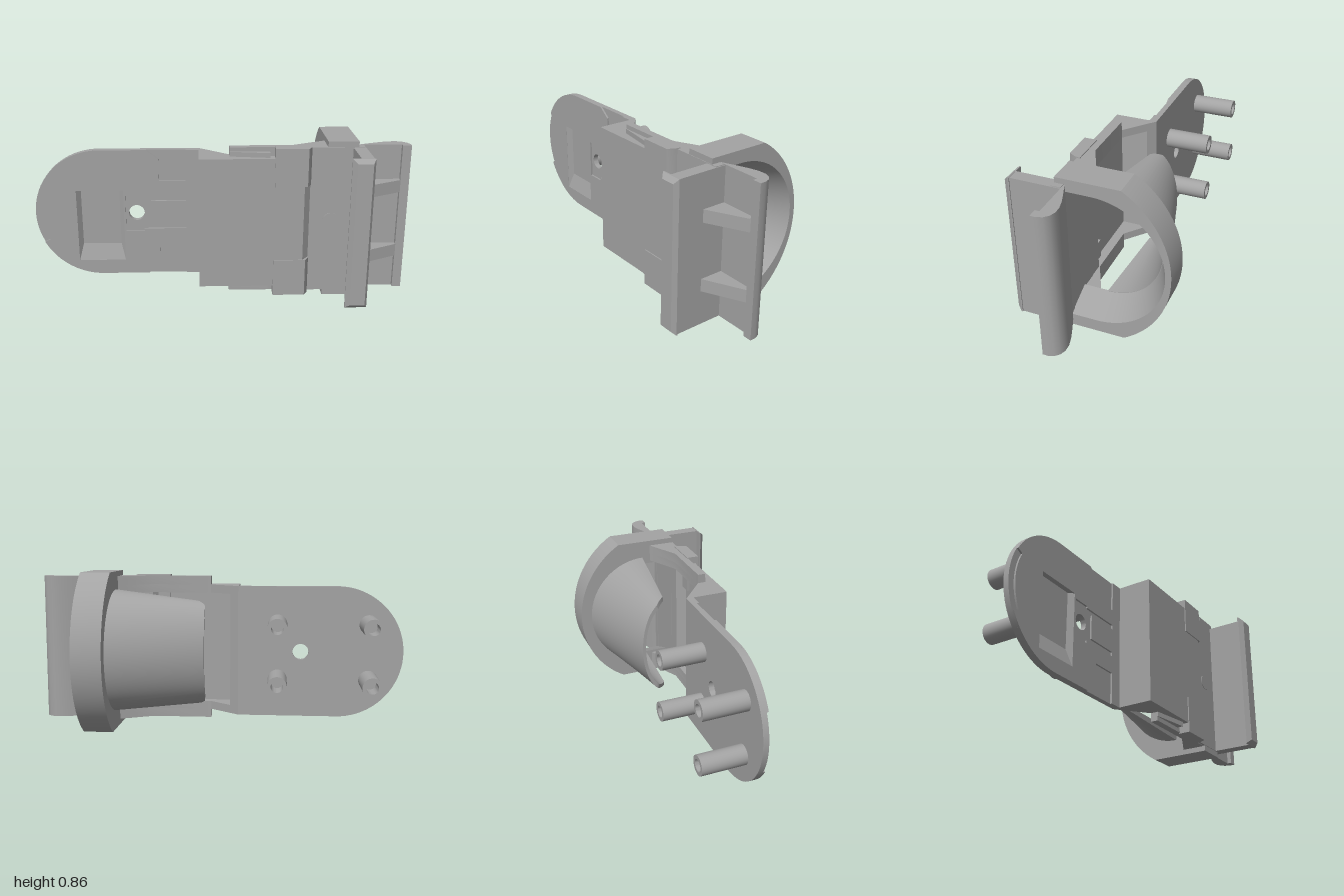
import * as THREE from 'three';
import { toCreasedNormals } from 'three/addons/utils/BufferGeometryUtils.js';

const CY = 0.435; // height of the mirror plane

export function createModel() {
  const group = new THREE.Group();
  const grey = new THREE.MeshStandardMaterial({ color: 0xa3a3a3 });
  grey.name = 'plain grey';

  const add = (name, geometry) => {
    const mesh = new THREE.Mesh(toCreasedNormals(geometry, 0.5), grey);
    mesh.name = name;
    group.add(mesh);
    return mesh;
  };
  const box = (name, x0, x1, y0, y1, z0, z1) =>
    add(name, new THREE.BoxGeometry(x1 - x0, y1 - y0, z1 - z0)
      .translate((x0 + x1) / 2, (y0 + y1) / 2, (z0 + z1) / 2));
  const v2 = (pts) => pts.map(([a, b]) => new THREE.Vector2(a, b));

  // Plan outline in x, z raised from y0 to y1
  const slab = (name, pts, y0, y1) => {
    const shape = new THREE.Shape(v2(pts.map(([x, z]) => [x, -z])));
    const g = new THREE.ExtrudeGeometry(shape, { depth: y1 - y0, bevelEnabled: false });
    return add(name, g.rotateX(-Math.PI / 2).translate(0, y0, 0));
  };
  // The same slab on both sides of the mirror plane
  const slabPair = (name, pts, y0, y1) => {
    slab(name + 'Upper', pts, y0, y1);
    slab(name + 'Lower', pts, 2 * CY - y1, 2 * CY - y0);
  };
  // Front outline in x, y extruded from z0 to z1
  const sheet = (name, pts, holes, z0, z1) => {
    const shape = new THREE.Shape(v2(pts));
    holes.forEach((h) => shape.holes.push(new THREE.Path(v2(h))));
    const g = new THREE.ExtrudeGeometry(shape, { depth: z1 - z0, bevelEnabled: false });
    return add(name, g.translate(0, 0, z0));
  };
  // Solid through a row of closed cross-sections, turned to face outward
  const loft = (name, sections) => {
    const tris = [];
    const m = sections[0].length, last = sections.length - 1;
    for (let i = 0; i < last; i++) {
      for (let j = 0; j < m; j++) {
        const k = (j + 1) % m, A = sections[i], B = sections[i + 1];
        tris.push([A[j], A[k], B[k]], [A[j], B[k], B[j]]);
      }
    }
    for (let j = 1; j < m - 1; j++) {
      tris.push([sections[0][0], sections[0][j + 1], sections[0][j]]);
      tris.push([sections[last][0], sections[last][j], sections[last][j + 1]]);
    }
    let volume = 0;
    const V = (p) => new THREE.Vector3(...p);
    tris.forEach(([a, b, c]) => { volume += V(a).dot(V(b).cross(V(c))); });
    const pos = tris.flatMap(([a, b, c]) => (volume > 0 ? [a, b, c] : [a, c, b])).flat();
    const g = new THREE.BufferGeometry();
    g.setAttribute('position', new THREE.Float32BufferAttribute(pos, 3));
    return add(name, g);
  };

  // Mounting plate: round-ended sheets with a through hole and shallow cuts
  const arc = (cx, cy, r, a0, a1, n) => Array.from({ length: n + 1 }, (_, i) => {
    const a = a0 + (a1 - a0) * i / n;
    return [cx + r * Math.cos(a), cy + r * Math.sin(a)];
  });
  const PI = Math.PI, R = 0.355, CX = -0.645;
  const hole = arc(-0.45, CY, 0.043, 0, 2 * PI * 31 / 32, 31);
  const recess = [[-0.775, 0.16], [-0.52, 0.16], [-0.52, 0.565], [-0.775, 0.565]];
  const rounded = [[-0.11, 0.08], [-0.11, 0.79], ...arc(CX, CY, R, PI / 2, 1.5 * PI, 40)];
  sheet('plateBack', rounded, [hole], -0.02, -0.008);
  sheet('plateMiddle', rounded, [hole, recess], -0.008, 0.01);
  const notch = [[-0.18, 0.79], [-0.18, 0.62], [-0.325, 0.62], [-0.325, 0.74], [-0.39, 0.79]];
  const mirrored = notch.map(([x, y]) => [x, 2 * CY - y]).reverse();
  const channel = [[-0.51, 0.33], [-0.41, 0.33], [-0.41, 0.345], [-0.18, 0.345], [-0.18, 0.37],
    [-0.37, 0.37], [-0.37, 0.505], [-0.18, 0.505], [-0.18, 0.53], [-0.41, 0.53], [-0.41, 0.54],
    [-0.51, 0.54]];
  sheet('plateFace', [[-0.11, 0.08], [-0.11, 0.79], ...notch,
    ...arc(CX, CY, R, PI / 2, PI - 0.48, 14), ...arc(CX, CY, 0.32, PI - 0.48, PI + 0.48, 12),
    ...arc(CX, CY, R, PI + 0.48, 1.5 * PI, 14), ...mirrored], [recess, channel], 0.01, 0.02);
  // Sloping end and sides of the recess
  loft('recessRamp', [-0.775, -0.52].map((x) => [[x, 0.16, -0.008], [x, 0.16, 0.019], [x, 0.25, -0.008]]));
  for (const [x, inner] of [[-0.775, -0.752], [-0.52, -0.543]]) {
    loft('recessSide', [0.16, 0.565].map((y) => [[x, y, -0.008], [x, y, 0.019], [inner, y, -0.008]]));
  }

  // Hollow pegs on the back
  for (const x of [-0.815, -0.325]) {
    for (const y of [CY - 0.151, CY + 0.151]) {
      const wall = v2([[0, 0.1], [0.032, 0.1], [0.032, 0.235], [0.052, 0.235], [0.052, 0]].reverse());
      const g = new THREE.LatheGeometry(wall, 28);
      // the profile runs base to tip to bore floor
      add('peg', g.rotateX(-PI / 2).translate(x, y, -0.02));
    }
  }

  // Open-backed body: floor, end wall and stepped side walls
  slab('bodyFloor', [[-0.11, 0.21], [0.44, 0.21], [0.48, 0.16], [0.48, 0.12], [0.38, 0.12],
    [0.34, 0.165], [-0.11, 0.165]], 0.08, 0.79);
  slab('bodyEndWall', [[-0.11, -0.02], [-0.065, 0.018], [-0.065, 0.18], [-0.11, 0.18]], 0.08, 0.79);
  slabPair('bodySideWall', [[-0.11, -0.02], [0.05, 0.115], [0.38, 0.115], [0.56, 0.025],
    [0.56, 0.155], [0.48, 0.155], [0.44, 0.21], [-0.11, 0.21]], 0.745, 0.79);
  slabPair('sideFlange', [[0.05, 0.115], [0.38, 0.115], [0.56, 0.025], [0.56, 0.155],
    [0.05, 0.155]], 0.785, 0.838);
  slabPair('sideStrip', [[0.05, 0.15], [0.26, 0.15], [0.26, 0.19], [0.05, 0.158]], 0.785, 0.815);
  slabPair('cornerPad', [[0.285, 0.15], [0.48, 0.15], [0.475, 0.18], [0.455, 0.216], [0.285, 0.216]],
    0.64, 0.843);
  box('frontPanel', 0.46, 0.75, 0.035, 0.838, 0.118, 0.168);
  // Small round spot on the front panel
  add('panelSpot', new THREE.CylinderGeometry(0.045, 0.045, 0.004, 28)
    .rotateX(PI / 2).translate(0.59, CY, 0.169));

  // Horseshoe ring with a tapered bore
  const N = 40, ring = [];
  const ringSection = (oz, oy, inner) => [
    [0.56, CY + oy, oz], [0.72, CY + oy, oz],
    [0.72, CY + inner(0.365)[1], inner(0.365)[0]], [0.56, CY + inner(0.295)[1], inner(0.295)[0]]];
  ring.push(ringSection(0.165, 0.432, (r) => [0.165, r]));
  const b0 = Math.asin(0.432 / 0.505);
  for (let i = 0; i <= N; i++) {
    const a = PI * i / N, b = b0 * (1 - 2 * i / N);
    ring.push(ringSection(0.095 - 0.505 * Math.cos(b), 0.505 * Math.sin(b),
      (r) => [-0.015 - r * Math.sin(a), r * Math.cos(a)]));
  }
  ring.push(ringSection(0.165, -0.432, (r) => [0.165, -r]));
  loft('ring', ring);

  // Half funnel that tapers from the ring toward the pegs
  const funnel = [];
  for (let i = 0; i <= N; i++) {
    const a = PI * i / N, s = Math.sin(a), c = Math.cos(a);
    const x = 0.06 + 0.05 * Math.max(0, 1 - s / 0.4);
    funnel.push([
      [0.565, CY + 0.335 * c, -0.022 - 0.328 * s], [0.565, CY + 0.295 * c, -0.015 - 0.295 * s],
      [x, CY + 0.255 * c, -0.065 - 0.122 * s], [x, CY + 0.28 * c, -0.068 - 0.137 * s]]);
  }
  loft('funnel', funnel);

  // Upright latch with a chamfered foot
  box('latchWall', 0.69, 0.755, 0.035, 0.835, 0.115, 0.385);
  const foot = (x0, x1, inset, z) => [[x0, 0.033 + inset, z], [x1, 0.033 + inset, z],
    [x1, 0.837 - inset, z], [x0, 0.837 - inset, z]];
  loft('latchFoot', [foot(0.645, 0.76, 0, 0.38), foot(0.645, 0.76, 0, 0.387),
    foot(0.668, 0.745, 0.022, 0.41)]);

  // Curved thumb flap and its two ribs
  slab('thumbFlap', [[0.72, 0.112], [0.79, 0.083], [0.85, 0.06], [0.9, 0.047], [0.94, 0.047],
    [0.97, 0.059], [0.99, 0.08], [1, 0.11], [1, 0.138], [0.953, 0.138], [0.953, 0.115],
    [0.72, 0.115]], 0.035, 0.837);
  slabPair('flapRib', [[0.75, 0.11], [0.955, 0.11], [0.955, 0.138], [0.755, 0.24]], 0.583, 0.65);

  return group;
}
